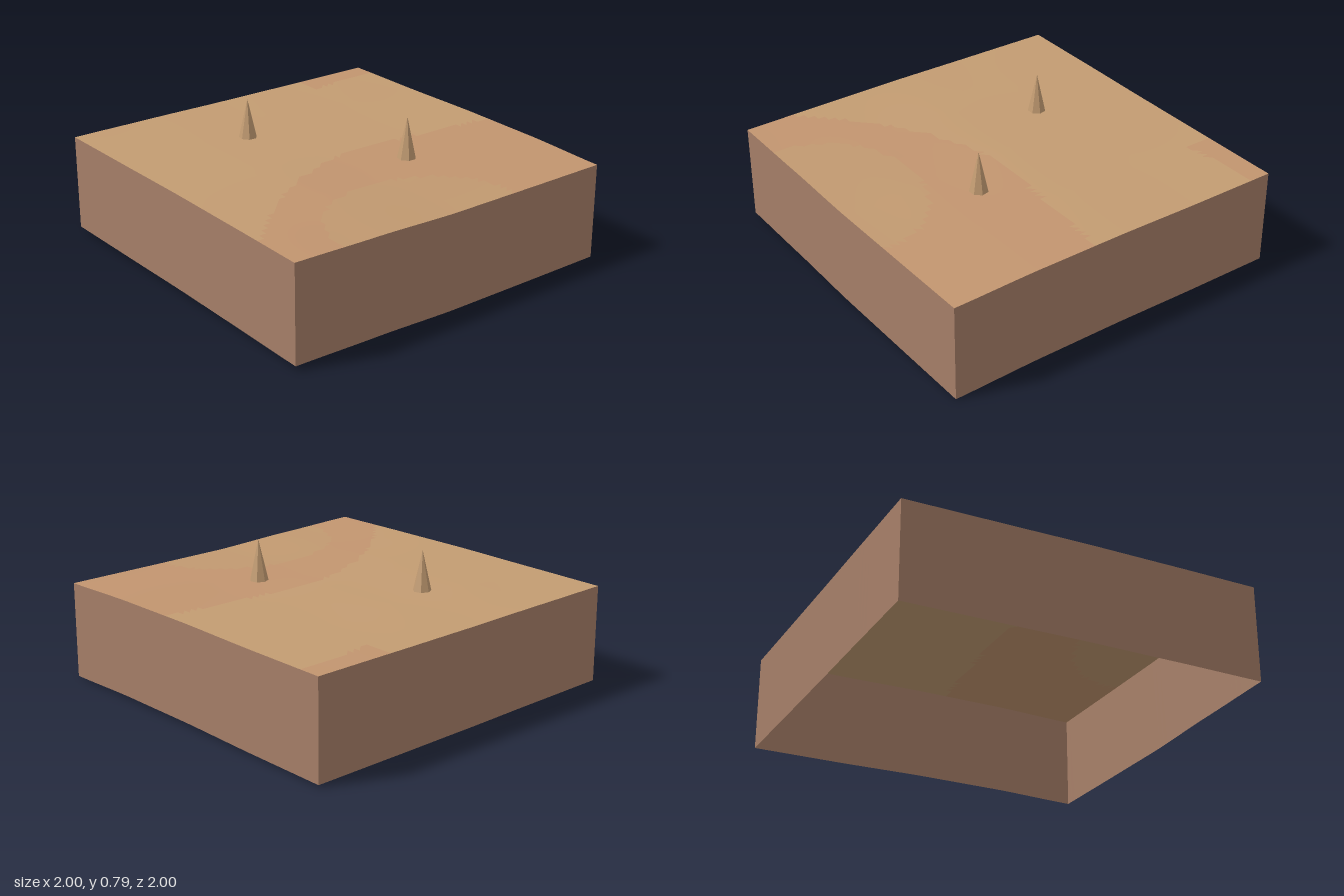
import * as THREE from 'three';

const DEPTH = 0.537;
// Ground heights: rows run from z = -1 to 1, columns from x = -1 to 1
const HEIGHTS = [
  [0.565, 0.561, 0.555, 0.552, 0.55],
  [0.567, 0.568, 0.56, 0.553, 0.55],
  [0.57, 0.57, 0.562, 0.556, 0.555],
  [0.567, 0.562, 0.552, 0.55, 0.552],
  [0.562, 0.552, 0.537, 0.537, 0.538],
];

// Smooth blend along five evenly spaced values, t from -1 to 1
function blend(v, t) {
  const s = (t + 1) * 2;
  const i = Math.max(0, Math.min(3, Math.floor(s)));
  const f = s - i;
  const w = f * f * (3 - 2 * f) * 0.5 + f * 0.5;
  return v[i] + (v[i + 1] - v[i]) * w;
}
const heightAt = (x, z) => blend(HEIGHTS.map((row) => blend(row, x)), z);

// Which earth tone a spot on the ground has
function toneAt(x, z) {
  if (x > 0.55 && z < -0.86 - 0.1 * (x - 0.7)) return 1;
  const edge = 0.08 + (x < 0.2 ? 0.45 * (x - 0.2) ** 2 : 0.1 * (x - 0.2));
  if (z < edge) return 0;
  const inHollow = ((x + 0.15) / 0.55) ** 2 + ((z - 0.95) / 0.45) ** 2 < 1;
  return inHollow ? 2 : 1;
}

function makeGround(materials) {
  const geo = new THREE.PlaneGeometry(2, 2, 48, 48).rotateX(-Math.PI / 2);
  const p = geo.attributes.position;
  for (let i = 0; i < p.count; i++) p.setY(i, heightAt(p.getX(i), p.getZ(i)));
  geo.computeVertexNormals();
  // Sort the triangles by tone
  const idx = geo.index.array;
  const lists = materials.map(() => []);
  for (let i = 0; i < idx.length; i += 3) {
    const tri = [idx[i], idx[i + 1], idx[i + 2]];
    const mean = (get) => tri.reduce((sum, k) => sum + get(k), 0) / 3;
    lists[toneAt(mean((k) => p.getX(k)), mean((k) => p.getZ(k)))].push(...tri);
  }
  geo.setIndex(lists.flat());
  let start = 0;
  lists.forEach((list, m) => {
    geo.addGroup(start, list.length, m);
    start += list.length;
  });
  const mesh = new THREE.Mesh(geo, materials);
  mesh.name = 'ground';
  return mesh;
}

// Wall following the ground edge, with the same drop all along
function makeWall(name, angle, material) {
  const geo = new THREE.PlaneGeometry(2, 1, 48, 1).translate(0, 0, 1).rotateY(angle);
  const p = geo.attributes.position;
  for (let i = 0; i < p.count; i++) {
    const drop = p.getY(i) > 0 ? 0 : DEPTH;
    p.setY(i, heightAt(p.getX(i), p.getZ(i)) - drop);
  }
  const mesh = new THREE.Mesh(geo, material);
  mesh.name = name;
  return mesh;
}

export function createModel() {
  const paint = (name, color, side = THREE.FrontSide, flatShading = false) =>
    new THREE.MeshStandardMaterial({ name, color, side, flatShading });
  const sand = paint('sand', 0xc39c72, THREE.DoubleSide);
  const clay = paint('clay', 0xc2956f, THREE.DoubleSide);
  const hollow = paint('hollow sand', 0xc19970, THREE.DoubleSide);
  const earth = paint('earth', 0xa67f68, THREE.DoubleSide);
  const stone = paint('stone', 0xc39c72, THREE.FrontSide, true);

  const model = new THREE.Group();
  model.name = 'terrainBlock';
  model.add(makeGround([sand, clay, hollow]));
  ['frontWall', 'leftWall', 'backWall', 'rightWall'].forEach((name, i) =>
    model.add(makeWall(name, (i * Math.PI) / 2, earth)));

  // Seven-sided spikes standing on the ground
  const spikeGeo = new THREE.ConeGeometry(0.052, 0.23, 7).rotateY(Math.PI).translate(0, 0.115, 0);
  [[-0.25, -0.42], [0.25, 0.33]].forEach(([x, z], i) => {
    const spike = new THREE.Mesh(spikeGeo, stone);
    spike.position.set(x, 0.555, z);
    spike.name = i ? 'frontSpike' : 'backSpike';
    model.add(spike);
  });
  return model;
}
